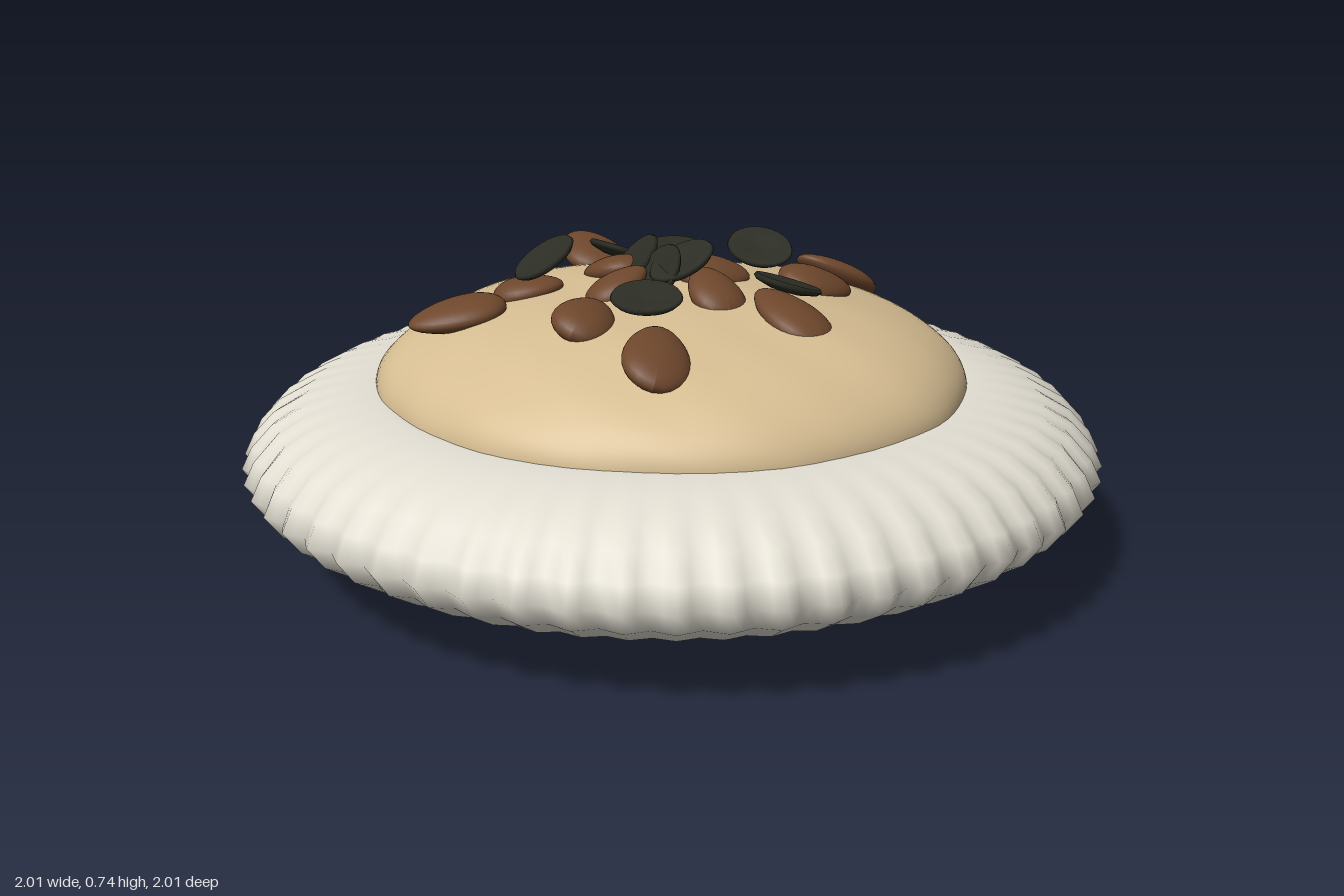
import * as THREE from 'three';

const mat = (name, color) => Object.assign(new THREE.MeshStandardMaterial({ color }), { name });

// Fluted shallow bowl: a lathe whose radius ripples around the rim
function makeBowl(material) {
  const FLUTES = 60;
  const pts = [[0, 0.005], [0.3, 0.033], [0.6, 0.06], [0.76, 0.09], [0.88, 0.14], [0.955, 0.19], [0.993, 0.245],
    [0.97, 0.295], [0.925, 0.345], [0.86, 0.382], [0.78, 0.402], [0.7, 0.412], [0.64, 0.405], [0.58, 0.38]]
    .map(([x, y]) => new THREE.Vector2(x, y));
  const geo = new THREE.LatheGeometry(pts, FLUTES * 4);
  const p = geo.attributes.position;
  for (let i = 0; i < p.count; i++) {
    const x = p.getX(i), z = p.getZ(i), r = Math.hypot(x, z);
    const k = 1 + 0.013 * Math.pow(r, 4) * Math.cos(FLUTES * Math.atan2(x, z));
    p.setX(i, x * k);
    p.setZ(i, z * k);
  }
  // Weld the seam normals by taking the analytic result on both ends
  geo.computeVertexNormals();
  const n = geo.attributes.normal, m = pts.length, last = FLUTES * 4 * m;
  for (let j = 0; j < m; j++) {
    const v = new THREE.Vector3().fromBufferAttribute(n, j)
      .add(new THREE.Vector3().fromBufferAttribute(n, last + j)).normalize();
    n.setXYZ(j, v.x, v.y, v.z);
    n.setXYZ(last + j, v.x, v.y, v.z);
  }
  material.side = THREE.DoubleSide;
  const mesh = new THREE.Mesh(geo, material);
  mesh.name = 'flutedBowl';
  return mesh;
}

// Lumpy dome: hemisphere with gentle wave noise
function makeMound(material) {
  const geo = new THREE.SphereGeometry(1, 96, 40, 0, Math.PI * 2, 0, Math.PI * 0.53);
  const p = geo.attributes.position;
  for (let i = 0; i < p.count; i++) {
    const x = p.getX(i), y = p.getY(i), z = p.getZ(i);
    const lump = 0.5 * Math.sin(7 * x + 3 * z + 1) + 0.5 * Math.sin(8 * z - 4 * x + 2.4)
      + 0.3 * Math.sin(15 * x + 6 * y) * Math.cos(14 * z + 1);
    const k = 0.69 * (1 + 0.011 * lump);
    p.setXYZ(i, x * k, 0.4 + 0.232 * y + 0.007 * lump * Math.max(y, 0), z * k);
  }
  geo.computeVertexNormals();
  const mesh = new THREE.Mesh(geo, material);
  mesh.name = 'moundFilling';
  return mesh;
}

// Almond: flattened ellipsoid tapered towards one end, long along x
function almondGeometry() {
  const geo = new THREE.SphereGeometry(1, 28, 18);
  const p = geo.attributes.position;
  for (let i = 0; i < p.count; i++) {
    const x = p.getX(i), t = 1 - 0.2 * x;
    p.setXYZ(i, x, p.getY(i) * t, p.getZ(i) * t);
  }
  geo.computeVertexNormals();
  return geo;
}

// Seed flake: thin round disc, slightly cupped
function flakeGeometry() {
  const pts = [[0, -0.01], [0.04, -0.007], [0.072, 0.002], [0.08, 0.01], [0.076, 0.017], [0.04, 0.011], [0, 0.008]]
    .map(([x, y]) => new THREE.Vector2(x, y));
  return new THREE.LatheGeometry(pts, 28);
}

const UP = new THREE.Vector3(0, 1, 0);

// Place a piece with its flat side along (nx, 1, nz) and its long axis turned by yaw degrees
function place(mesh, name, x, y, z, yaw, nx, nz) {
  mesh.name = name;
  mesh.position.set(x, y, z);
  mesh.quaternion.setFromUnitVectors(UP, new THREE.Vector3(nx, 1, nz).normalize())
    .multiply(new THREE.Quaternion().setFromAxisAngle(UP, THREE.MathUtils.degToRad(yaw)));
  return mesh;
}

export function createModel() {
  const model = new THREE.Group();
  model.name = 'toppedBowl';
  const cream = mat('creamCeramic', 0xe2ded2);
  const dough = mat('tanFilling', 0xd6bd92);
  const brown = mat('almondBrown', 0x6e472c);
  const dark = mat('darkSeed', 0x2c2e25);

  model.add(makeBowl(cream), makeMound(dough));

  // Almonds: x, y, z, yaw, normal x, normal z, half length, half width
  const almonds = [
    [-0.29, 0.60, -0.39, 130, 0.25, 0.2, 0.10, 0.08],
    [-0.06, 0.60, -0.32, 95, 0.1, -0.25, 0.115, 0.075],
    [0.34, 0.57, -0.38, 225, 0.25, -0.6, 0.12, 0.08],
    [0.32, 0.605, -0.15, 40, 0.4, 0.05, 0.10, 0.07],
    [-0.46, 0.58, 0.20, 210, -0.1, 0.15, 0.115, 0.075],
    [-0.34, 0.60, 0.03, 10, -0.2, 0, 0.085, 0.07],
    [0.30, 0.60, 0.14, 140, 0.35, 0.15, 0.115, 0.075],
    [-0.13, 0.615, 0.31, 85, 0.35, 0.2, 0.092, 0.068],
    [0.06, 0.58, 0.45, 100, 0.4, 0.25, 0.115, 0.075],
    [-0.16, 0.63, -0.09, 150, -0.2, -0.2, 0.09, 0.065],
    [0.09, 0.645, -0.04, 25, 0.3, 0.3, 0.09, 0.06],
    [0.12, 0.635, 0.10, 125, 0.4, 0.3, 0.09, 0.065],
    [-0.11, 0.635, 0.09, 50, -0.4, 0.2, 0.085, 0.06],
    [0.07, 0.63, -0.13, 60, 0.3, -0.3, 0.085, 0.06],
  ];
  const almond = almondGeometry();
  almonds.forEach(([x, y, z, yaw, nx, nz, len, wid], i) => {
    const mesh = place(new THREE.Mesh(almond, brown), `almond${i + 1}`, x, y, z, yaw, nx, nz);
    mesh.scale.set(len, 0.034, wid);
    model.add(mesh);
  });

  // Dark seed flakes: x, y, z, normal x, normal z
  const flakes = [
    [-0.18, 0.635, -0.23, 0.25, -0.35],
    [0.17, 0.66, -0.23, 0.2, 0.4],
    [0.0, 0.68, -0.08, 0.1, 0.1],
    [-0.28, 0.685, 0.08, -0.55, 0.35],
    [0.04, 0.69, 0.07, -0.4, 0.35],
    [0.28, 0.65, 0.08, 0.25, -0.2],
    [0.0, 0.655, 0.28, 0.05, 0.2],
    [-0.09, 0.66, -0.03, -1.0, 0.5],
    [-0.01, 0.66, 0.08, -1.2, 0.9],
  ];
  const flake = flakeGeometry();
  flakes.forEach(([x, y, z, nx, nz], i) =>
    model.add(place(new THREE.Mesh(flake, dark), `seedFlake${i + 1}`, x, y, z, 0, nx, nz)));

  return model;
}
